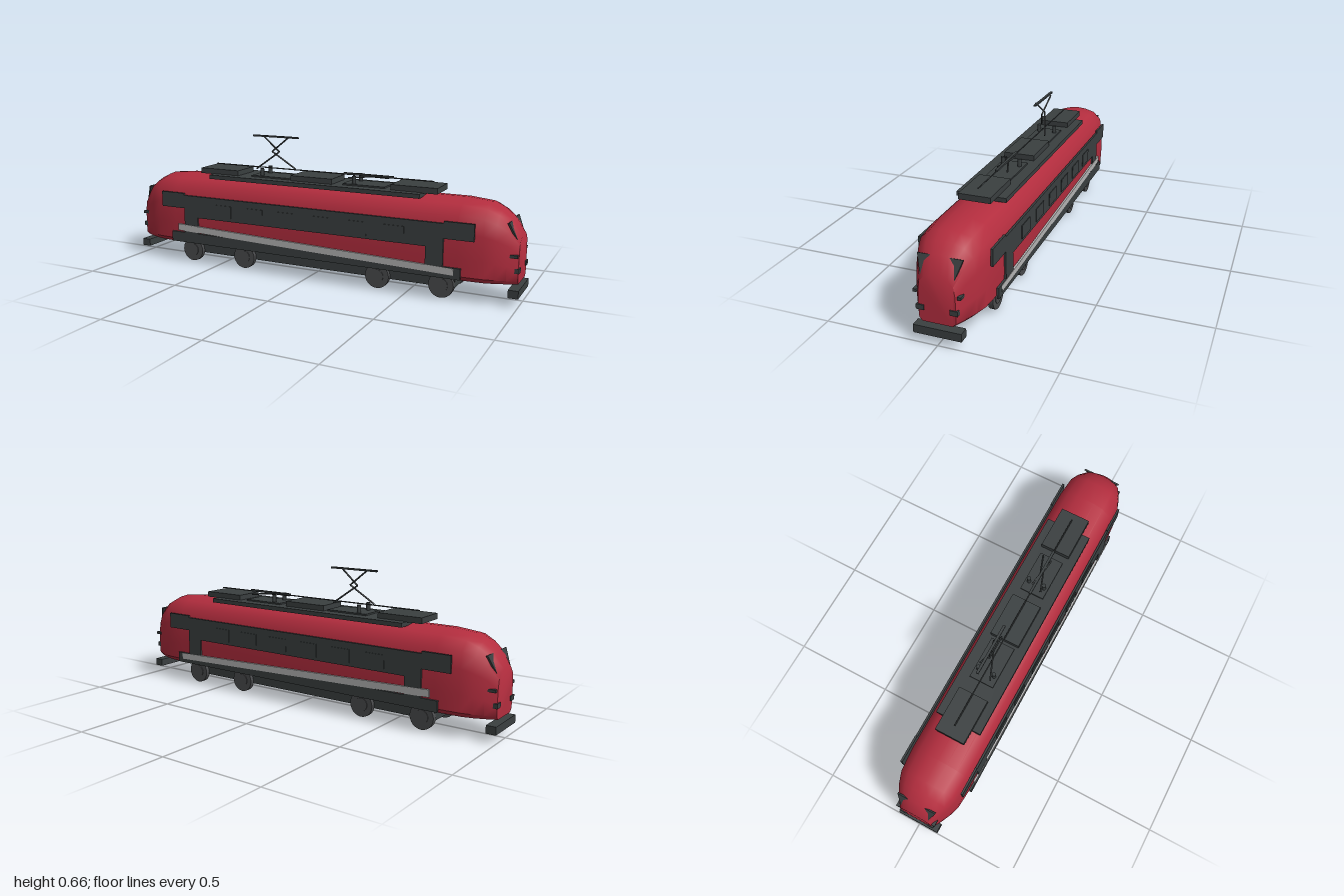
import * as THREE from 'three';
import { toCreasedNormals } from 'three/addons/utils/BufferGeometryUtils.js';

const material = (color) => new THREE.MeshStandardMaterial({ color });
const RED = material(0xb32d3e);
const DARK = material(0x3a3f40);
const WHEEL = material(0x4a4b4d);
const STRIPE = material(0xb4b4b4);

function add(parent, name, geometry, mat, x = 0, y = 0, z = 0) {
  const mesh = new THREE.Mesh(geometry, mat);
  mesh.name = name;
  mesh.position.set(x, y, z);
  parent.add(mesh);
  return mesh;
}

// Box given by its limits on each axis
function box(parent, name, x0, x1, y0, y1, z0, z1, mat = DARK) {
  return add(parent, name, new THREE.BoxGeometry(x1 - x0, y1 - y0, z1 - z0), mat,
    (x0 + x1) / 2, (y0 + y1) / 2, (z0 + z1) / 2);
}

// Thin round bar between two points
function rod(parent, name, a, b, radius = 0.004) {
  const p = new THREE.Vector3(...a), q = new THREE.Vector3(...b);
  const mesh = add(parent, name, new THREE.CylinderGeometry(radius, radius, p.distanceTo(q), 6), DARK);
  mesh.position.copy(p).lerp(q, 0.5);
  mesh.quaternion.setFromUnitVectors(new THREE.Vector3(0, 1, 0), q.sub(p).normalize());
}

function plate(points, depth, hole) {
  const toVectors = (list) => list.map(([x, y]) => new THREE.Vector2(x, y));
  const shape = new THREE.Shape(toVectors(points));
  if (hole) shape.holes.push(new THREE.Path(toVectors(hole)));
  return new THREE.ExtrudeGeometry(shape, { depth, bevelEnabled: false });
}

// Hull lofted from one half profile, scaled at each station along x
function bodyGeometry() {
  const half = [[0.8, 0], [0.98, 0.07], [1, 0.3], [0.98, 0.62], [0.9, 0.83], [0.63, 0.945], [0.3, 0.987]];
  const ring = [...half.map(([u, v]) => [-u, v]), [0, 1], ...half.slice().reverse()];
  const end = [[0.99, 0.08, 0.305], [0.945, 0.108, 0.373], [0.9, 0.13, 0.408], [0.85, 0.146, 0.433], [0.74, 0.154, 0.444]];
  const stations = [...end.map(([x, w, t]) => [-x, w, t]), ...end.slice().reverse()];
  const bottom = 0.094, n = ring.length;
  const positions = [], index = [];
  for (const [x, w, top] of stations) {
    for (const [u, v] of ring) positions.push(x, bottom + v * (top - bottom), u * w);
  }
  for (let i = 0; i < stations.length - 1; i++) {
    for (let j = 0; j < n; j++) {
      const a = i * n + j, b = i * n + (j + 1) % n;
      index.push(a, b, a + n, b, b + n, a + n);
    }
  }
  const last = (stations.length - 1) * n;
  for (let j = 1; j < n - 1; j++) {
    index.push(0, j + 1, j, last, last + j, last + j + 1);
  }
  const geometry = new THREE.BufferGeometry();
  geometry.setAttribute('position', new THREE.Float32BufferAttribute(positions, 3));
  geometry.setIndex(index);
  return toCreasedNormals(geometry, 0.75);
}

// Window band, door posts and skirt as one panel, with panes and a sloping stripe
function addSide(parent, side) {
  const group = new THREE.Group();
  group.name = side > 0 ? 'leftSide' : 'rightSide';
  parent.add(group);
  const outline = [[0.76, 0.106], [0.76, 0.157], [0.68, 0.157], [0.68, 0.283], [0.815, 0.283], [0.815, 0.36], [0.68, 0.36], [0.68, 0.35]];
  const mirrored = outline.slice().reverse().map(([x, y]) => [-x, y]);
  const hole = [[-0.6, 0.157], [-0.6, 0.24], [0.6, 0.24], [0.6, 0.157]];
  const place = (z, depth) => (side > 0 ? z : -z - depth);
  add(group, 'sidePanel', plate([...outline, ...mirrored], 0.01, hole), DARK, 0, 0, place(0.152, 0.01));
  const stripe = [[-0.72, 0.166], [0.73, 0.124], [0.73, 0.154], [-0.72, 0.199]];
  add(group, 'stripe', plate(stripe, 0.009), STRIPE, 0, 0, place(0.155, 0.009));
  for (let i = 0; i < 6; i++) {
    const x = -0.45 + i * 0.18;
    box(group, 'windowPane', x - 0.05, x + 0.05, 0.255, 0.318, side * 0.162 - 0.003, side * 0.162 + 0.003);
  }
}

// Windscreen, lamps and buffer beam, built for the +x end
function addEnd(parent, name, turn) {
  const group = new THREE.Group();
  group.name = name;
  group.rotation.y = turn;
  parent.add(group);
  const screen = plate([[-0.097, 0], [-0.07, -0.09], [0.07, -0.09], [0.097, 0]].reverse(), 0.008);
  screen.rotateY(Math.PI / 2);
  screen.rotateZ(0.42);
  add(group, 'windscreen', screen, DARK, 0.938, 0.363, 0);
  for (const s of [-1, 1]) {
    box(group, 'upperLamp', 0.955, 0.988, 0.216, 0.229, s * 0.094 - 0.008, s * 0.094 + 0.008);
    box(group, 'lowerLamp', 0.965, 0.995, 0.146, 0.168, s * 0.072 - 0.017, s * 0.072 + 0.017);
  }
  box(group, 'bufferBeam', 0.955, 1, 0.039, 0.075, -0.104, 0.104);
}

// Current collector: two crossing bent arms and a contact bar
function addPantograph(parent, name, x, base, knee, top, barShift) {
  const group = new THREE.Group();
  group.name = name;
  group.position.x = x;
  parent.add(group);
  box(group, 'collectorBase', -0.105, 0.105, 0.455, 0.464, -0.06, 0.06);
  for (const s of [-1, 1]) {
    const foot = [s * 0.088, base, -s * 0.038];
    const elbow = [-s * 0.02, knee, 0];
    rod(group, 'lowerArm', foot, elbow);
    rod(group, 'upperArm', elbow, [s * 0.075, top, s * 0.013]);
    add(group, 'insulator', new THREE.CylinderGeometry(0.01, 0.01, 0.045, 8), DARK, -0.055, 0.477, s * 0.04);
  }
  box(group, 'contactBar', barShift - 0.125, barShift + 0.125, top - 0.002, top + 0.006, -0.006, 0.006);
}

export function createModel() {
  const model = new THREE.Group();
  model.name = 'locomotive';
  add(model, 'body', bodyGeometry(), RED);
  addSide(model, 1);
  addSide(model, -1);
  addEnd(model, 'rightEnd', 0);
  addEnd(model, 'leftEnd', Math.PI);

  // Chassis and wheels
  box(model, 'chassis', -0.72, 0.72, 0.046, 0.11, -0.098, 0.098);
  for (const x of [-0.665, -0.357, 0.357, 0.662]) {
    for (const s of [-1, 1]) {
      const wheel = new THREE.CylinderGeometry(0.058, 0.058, 0.023, 24).rotateX(Math.PI / 2);
      add(model, 'wheel', wheel, WHEEL, x, 0.058, s * 0.106);
      const hub = new THREE.CylinderGeometry(0.032, 0.032, 0.006, 20).rotateX(Math.PI / 2);
      add(model, 'wheelHub', hub, WHEEL, x, 0.058, s * 0.117);
    }
  }

  // Roof equipment
  box(model, 'roofPlate', -0.555, 0.55, 0.437, 0.457, -0.113, 0.113);
  for (const x of [-0.52, -0.005, 0.51]) {
    box(model, 'roofBox', x - 0.11, x + 0.11, 0.455, 0.482, -0.073, 0.073);
  }
  rod(model, 'roofCable', [-0.58, 0.498, 0], [0.58, 0.498, 0], 0.003);
  addPantograph(model, 'raisedPantograph', -0.235, 0.495, 0.58, 0.652, 0);
  addPantograph(model, 'loweredPantograph', 0.26, 0.488, 0.497, 0.5, 0);
  return model;
}
